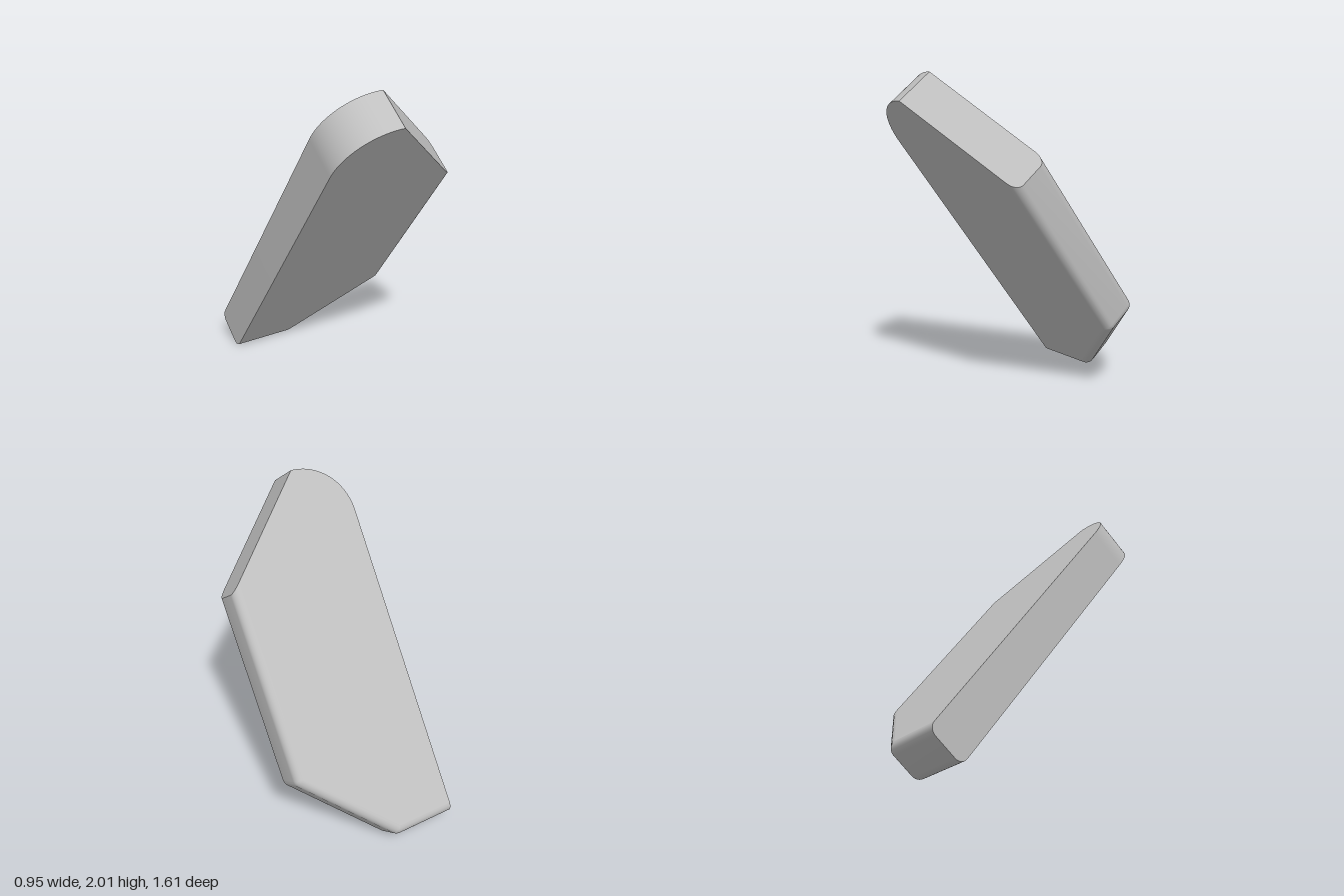
import * as THREE from 'three';
import { toCreasedNormals, mergeGeometries } from 'three/addons/utils/BufferGeometryUtils.js';

// Slab dimensions in its own plane: u across, v along, z through the thickness
const SIDE = 0.473, BOTTOM = -0.395, TOP = 1.954;
const ARC = 0.338;                  // radius of the round top corner
const FILLET = 0.055;
const FRONT = -0.471, BACK = -0.735;
const TILT = 0.651;                 // lean about x
const APEX = -SIDE + ARC;
const MITRE = Math.tan(Math.PI / 8);

// Counter-clockwise outline, with the filleted edges inset by d
function outline(d) {
  const pts = [[-SIDE, BOTTOM + d]];
  const corner = (cx, cy, r, from, to, n) => {
    for (let i = 0; i <= n; i++) {
      const a = THREE.MathUtils.degToRad(from + (to - from) * i / n);
      pts.push([cx + r * Math.cos(a), cy + r * Math.sin(a)]);
    }
  };
  corner(-0.067 - MITRE * FILLET, BOTTOM + FILLET, FILLET - d, -90, -45, 5);
  corner(SIDE - FILLET, 0.145 + MITRE * FILLET, FILLET - d, -45, 0, 5);
  pts.push([SIDE - d, TOP - (SIDE - d - APEX)]);   // 45 degree end cut
  corner(APEX, TOP - ARC, ARC, 90, 180, 24);
  return pts;
}

function geometryFrom(positions) {
  const g = new THREE.BufferGeometry();
  g.setAttribute('position', new THREE.Float32BufferAttribute(positions, 3));
  return g;
}

function slabGeometry() {
  // Outline loops from back to front through both fillets
  const loops = [], steps = 8;
  const addLoop = (d, z) => loops.push(outline(d).map(([x, y]) => [x, y, z]));
  for (let i = 0; i <= steps; i++) {
    const a = i / steps * Math.PI / 2;
    addLoop(FILLET * (1 - Math.sin(a)), BACK + FILLET * (1 - Math.cos(a)));
  }
  for (let i = steps; i >= 0; i--) {
    const a = i / steps * Math.PI / 2;
    addLoop(FILLET * (1 - Math.sin(a)), FRONT - FILLET * (1 - Math.cos(a)));
  }

  // Rim
  const rim = [], count = loops[0].length;
  for (let i = 0; i < loops.length - 1; i++) {
    for (let j = 0; j < count; j++) {
      const k = (j + 1) % count;
      const a = loops[i][j], b = loops[i][k], c = loops[i + 1][k], d = loops[i + 1][j];
      rim.push(...a, ...b, ...c, ...a, ...c, ...d);
    }
  }

  // Flat front and back faces
  const caps = [], back = loops[0], front = loops[loops.length - 1];
  for (let j = 1; j < count - 1; j++) {
    caps.push(...front[0], ...front[j], ...front[j + 1]);
    caps.push(...back[0], ...back[j + 1], ...back[j]);
  }
  const capGeometry = geometryFrom(caps);
  const normals = [];
  for (let i = 0; i < caps.length; i += 3) normals.push(0, 0, caps[i + 2] === FRONT ? 1 : -1);
  capGeometry.setAttribute('normal', new THREE.Float32BufferAttribute(normals, 3));

  return mergeGeometries([toCreasedNormals(geometryFrom(rim), 0.6), capGeometry]);
}

export function createModel() {
  const grey = new THREE.MeshStandardMaterial({ color: 0xc0c0c0 });
  grey.name = 'light grey';

  const slab = new THREE.Mesh(slabGeometry(), grey);
  slab.name = 'slantedSlab';
  slab.rotation.x = TILT;

  const model = new THREE.Group();
  model.name = 'slantedPlate';
  model.add(slab);
  return model;
}
